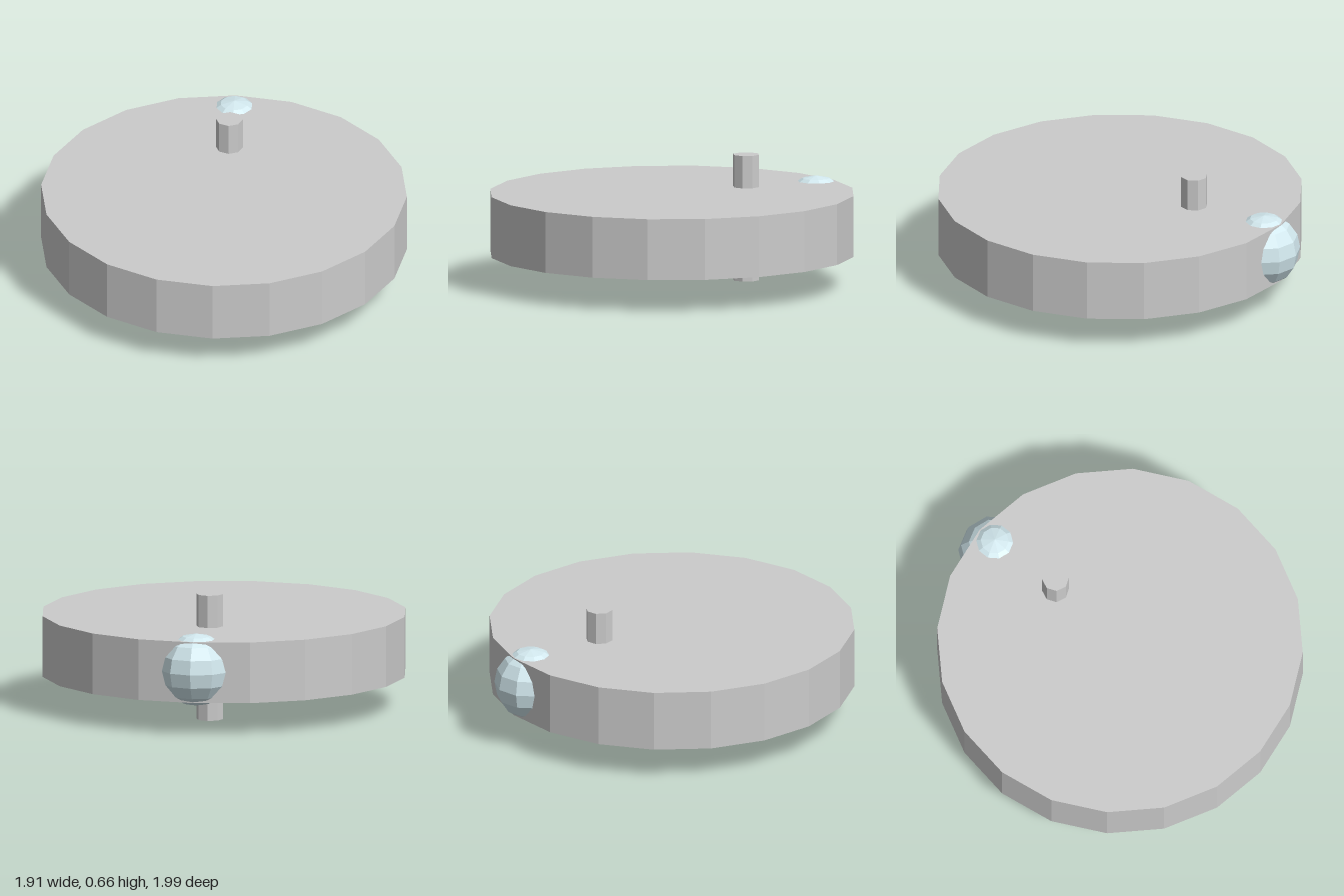
import * as THREE from 'three';

export function createModel() {
  const group = new THREE.Group();
  const grey = new THREE.MeshStandardMaterial({ color: 0xcccccc, flatShading: true });
  const paleBlue = new THREE.MeshStandardMaterial({ color: 0xd2e8ee, flatShading: true });

  const add = (name, geometry, material, y, z) => {
    const mesh = new THREE.Mesh(geometry, material);
    mesh.name = name;
    mesh.position.set(0, y, z);
    group.add(mesh);
    return mesh;
  };

  // Wide twenty-sided disc
  add('disc', new THREE.CylinderGeometry(0.953, 0.953, 0.32, 20), grey, 0.33, 0.043);

  // Off-centre axle passing through the disc
  add('axle', new THREE.CylinderGeometry(0.07, 0.07, 0.66, 8), grey, 0.33, -0.395);

  // Faceted ball set into the rear rim, a corner facing back
  const ball = add('rimBall', new THREE.SphereGeometry(0.19, 10, 8), paleBlue, 0.33, -0.808);
  ball.rotation.y = -Math.PI / 2;

  return group;
}
